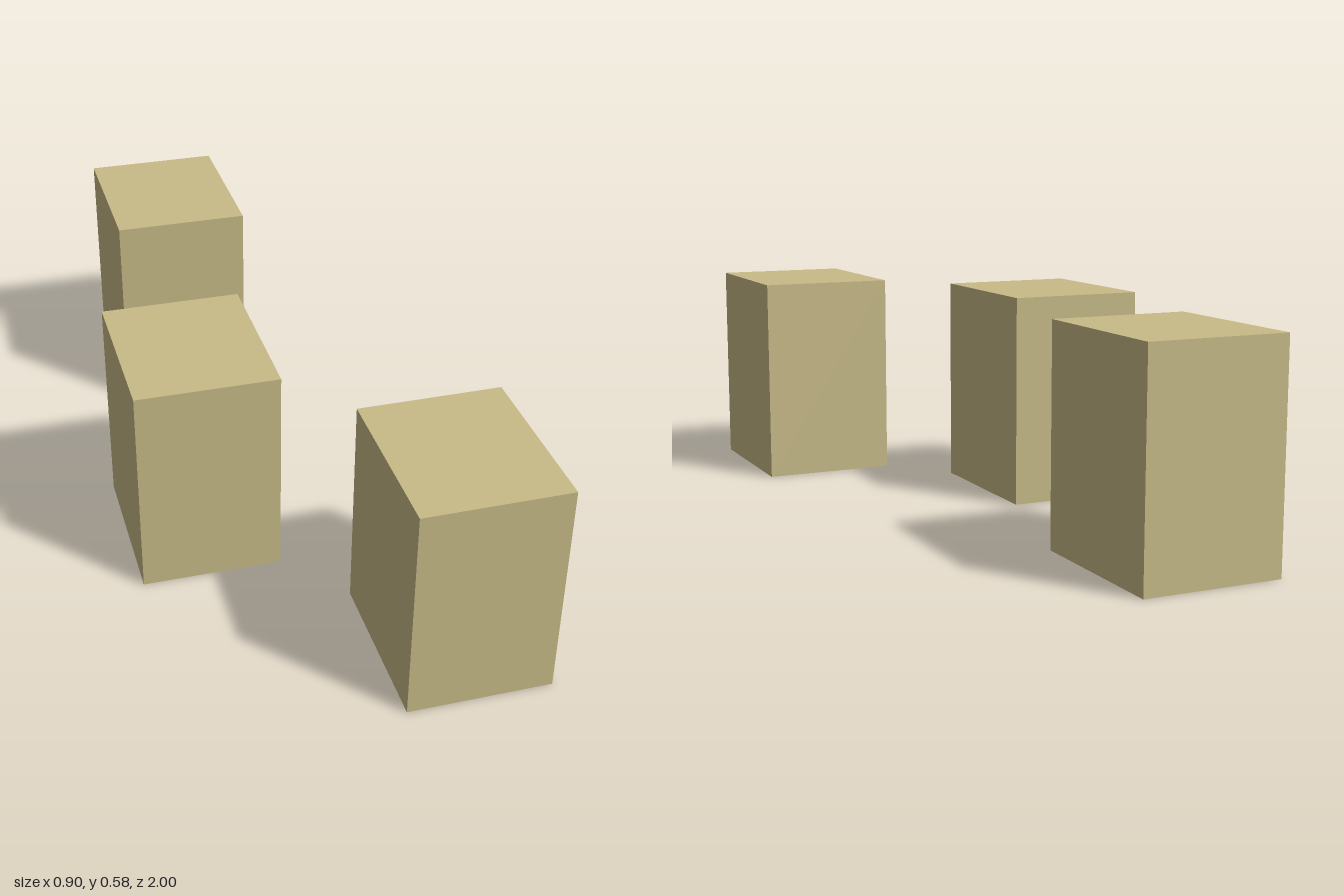
import * as THREE from 'three';

const WIDTH = 0.377, HEIGHT = 0.585, DEPTH = 0.453;

export function createModel() {
  const model = new THREE.Group();
  model.name = 'blocks';
  const material = new THREE.MeshStandardMaterial({ color: 0xc8bb88 });

  // One block shape, its base moved to y = 0
  const geometry = new THREE.BoxGeometry(WIDTH, HEIGHT, DEPTH);
  geometry.translate(0, HEIGHT / 2, 0);

  // Three equal upright blocks, staggered from front to back
  const places = [
    ['frontBlock', 0.259, 0.773],
    ['middleBlock', -0.26, 0.143],
    ['backBlock', -0.128, -0.773],
  ];
  for (const [name, x, z] of places) {
    const block = new THREE.Mesh(geometry, material);
    block.name = name;
    block.position.set(x, 0, z);
    model.add(block);
  }
  return model;
}
